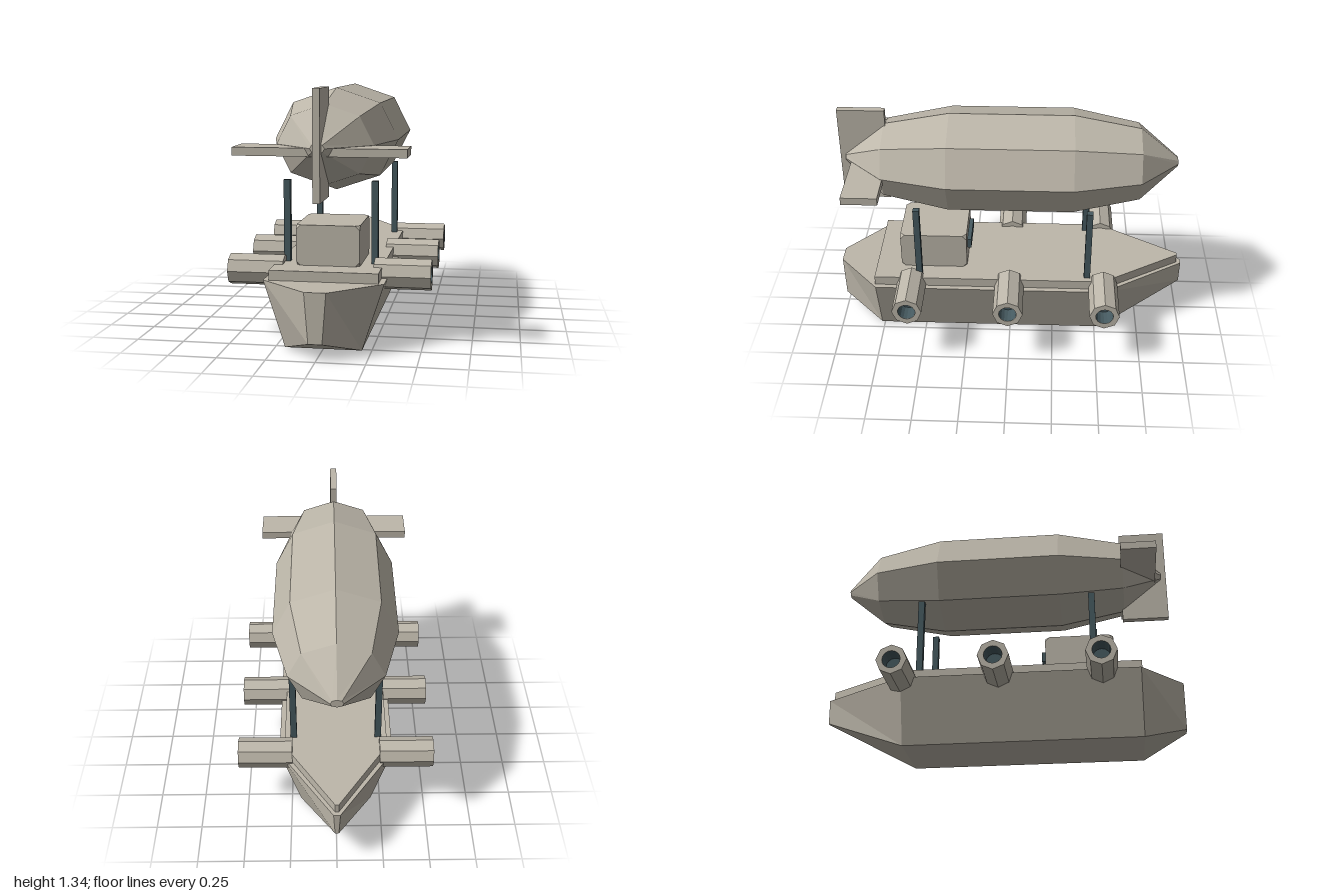
import * as THREE from 'three';
import { ConvexGeometry } from 'three/addons/geometries/ConvexGeometry.js';

const stone = new THREE.MeshStandardMaterial({ color: 0xbdb7aa });
stone.name = 'paleStone';
const slate = new THREE.MeshStandardMaterial({ color: 0x465a60, side: THREE.DoubleSide });
slate.name = 'darkSlate';

// Flat-faced skin over cross-sections, listed from +z to -z, each counter-clockwise
function loft(sections) {
  const n = sections[0].length;
  const pos = [];
  const tri = (a, b, c) => pos.push(...a, ...b, ...c);
  for (let i = 0; i < sections.length - 1; i++) {
    for (let j = 0; j < n; j++) {
      const k = (j + 1) % n;
      const a = sections[i][j], b = sections[i][k];
      const d = sections[i + 1][j], c = sections[i + 1][k];
      tri(a, d, b);
      tri(b, d, c);
    }
  }
  const first = sections[0], last = sections[sections.length - 1];
  for (let j = 1; j < n - 1; j++) {
    tri(first[0], first[j], first[j + 1]);
    tri(last[0], last[j + 1], last[j]);
  }
  const g = new THREE.BufferGeometry();
  g.setAttribute('position', new THREE.Float32BufferAttribute(pos, 3));
  g.computeVertexNormals();
  return g;
}

const trapezoid = (z, topX, topY, botX, botY) => [
  [-botX, botY, z], [botX, botY, z], [topX, topY, z], [-topX, topY, z],
];

// Box with its eight corners cut off
function cutCornerBox(w, h, d, cut) {
  const pts = [];
  for (const sx of [-1, 1]) for (const sy of [-1, 1]) for (const sz of [-1, 1]) {
    const x = sx * w / 2, y = sy * h / 2, z = sz * d / 2;
    pts.push(
      new THREE.Vector3(x - sx * cut, y, z),
      new THREE.Vector3(x, y - sy * cut, z),
      new THREE.Vector3(x, y, z - sz * cut),
    );
  }
  return new ConvexGeometry(pts);
}

function ringPoints(sides, r) {
  return Array.from({ length: sides }, (_, i) => {
    const a = (i / sides) * Math.PI * 2;
    return new THREE.Vector2(r * Math.cos(a), r * Math.sin(a));
  });
}

export function createModel() {
  const model = new THREE.Group();
  model.name = 'airship';

  const add = (name, geo, mat, x = 0, y = 0, z = 0, parent = model) => {
    const m = new THREE.Mesh(geo, mat);
    m.name = name;
    m.position.set(x, y, z);
    parent.add(m);
    return m;
  };
  const box = (name, mat, w, h, d, x, y, z) => add(name, new THREE.BoxGeometry(w, h, d), mat, x, y, z);

  // Hull and deck
  add('hull', loft([
    trapezoid(1, 0.055, 0.35, 0.035, 0.09),
    trapezoid(0.767, 0.313, 0.35, 0.2, 0),
    trapezoid(-0.53, 0.313, 0.35, 0.2, 0),
    trapezoid(-1, 0.018, 0.35, 0.01, 0.215),
  ]), stone);
  add('deck', loft([
    trapezoid(0.773, 0.283, 0.403, 0.283, 0.345),
    trapezoid(-0.53, 0.283, 0.403, 0.283, 0.345),
    trapezoid(-0.975, 0.01, 0.403, 0.01, 0.345),
  ]), stone);

  // Cabin with a window on its back wall
  add('cabin', cutCornerBox(0.335, 0.216, 0.378, 0.025), stone, 0, 0.509, 0.439);
  box('cabinWindow', slate, 0.215, 0.055, 0.04, 0, 0.525, 0.247);

  // Gas envelope: stretched octagons, pointed at both ends
  const octagon = (z, rx, ry) => ringPoints(8, 1).map((p) => [p.x * rx, 1.043 + p.y * ry, z]);
  add('envelope', loft([
    octagon(0.92, 0.037, 0.025),
    octagon(0.7, 0.25, 0.205),
    octagon(0.34, 0.335, 0.275),
    octagon(-0.345, 0.335, 0.275),
    octagon(-0.71, 0.247, 0.202),
    octagon(-0.922, 0.034, 0.023),
  ]), stone);

  // Tail fins
  box('rudder', stone, 0.037, 0.557, 0.26, 0, 1.0565, 0.82);
  box('elevator', stone, 0.87, 0.042, 0.195, 0, 1.021, 0.787);

  // Struts under the envelope
  for (const side of [-1, 1]) for (const z of [0.518, -0.441]) {
    box('strut', slate, 0.035, 0.45, 0.035, side * 0.234, 0.615, z);
  }

  // Side barrels with dark bores
  const profile = new THREE.Shape(ringPoints(8, 0.083));
  profile.holes.push(new THREE.Path(ringPoints(16, 0.049).reverse()));
  const barrelGeo = new THREE.ExtrudeGeometry(profile, { depth: 0.297, bevelEnabled: false });
  barrelGeo.translate(0, 0, 0.24);
  const boreGeo = new THREE.LatheGeometry([
    new THREE.Vector2(0.0485, 0.536),
    new THREE.Vector2(0.0475, 0.44),
    new THREE.Vector2(0, 0.44),
  ], 16).toNonIndexed();
  boreGeo.rotateX(Math.PI / 2);
  boreGeo.computeVertexNormals();
  for (const side of [-1, 1]) for (const z of [0.562, 0.002, -0.533]) {
    const gun = new THREE.Group();
    gun.name = 'sideBarrel';
    gun.position.set(0, 0.36, z);
    gun.rotation.y = side * Math.PI / 2;
    add('barrel', barrelGeo, stone, 0, 0, 0, gun);
    add('bore', boreGeo, slate, 0, 0, 0, gun);
    model.add(gun);
  }

  return model;
}
